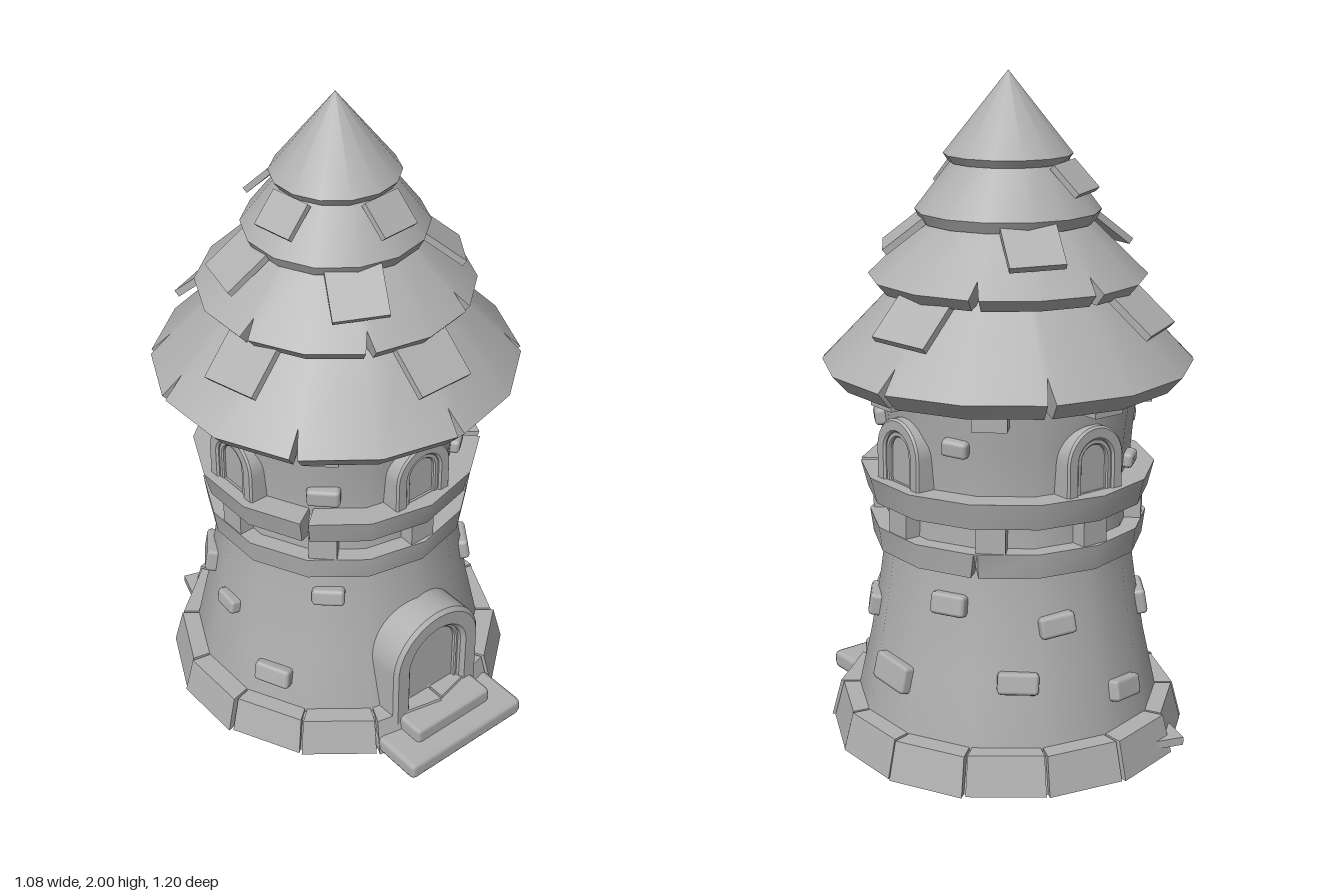
import * as THREE from 'three';
import { toCreasedNormals } from 'three/addons/utils/BufferGeometryUtils.js';
import { RoundedBoxGeometry } from 'three/addons/geometries/RoundedBoxGeometry.js';

const SIDES = 14;
const STEP = (Math.PI * 2) / SIDES;
const rad = THREE.MathUtils.degToRad;

// Wall outline as [radius, height]
const WALL = [[0.475, 0.0], [0.462, 0.11], [0.42, 0.3], [0.39, 0.48], [0.373, 0.6],
  [0.365, 0.72], [0.366, 0.85], [0.377, 0.98], [0.396, 1.13]];

function wallRadius(y) {
  const i = Math.max(1, WALL.findIndex((p) => p[1] >= y));
  const [r0, y0] = WALL[i - 1], [r1, y1] = WALL[i];
  return r0 + ((r1 - r0) * (y - y0)) / (y1 - y0);
}

// Sweeps a profile (top to bottom) round the axis; listed corners get the cut profile as a V notch
function ringGeometry(profile, cut = profile, notches = [], half = 0.028) {
  const columns = [];
  for (let k = 0; k < SIDES; k++) {
    const a = k * STEP;
    if (notches.includes(k)) columns.push([a - half, profile], [a, cut], [a + half, profile]);
    else columns.push([a, profile]);
  }
  const pos = [], index = [], n = profile.length;
  columns.forEach(([a, p], i) => {
    p.forEach(([r, y]) => pos.push(r * Math.sin(a), y, r * Math.cos(a)));
    const next = (i + 1) % columns.length;
    for (let j = 0; j < n - 1; j++) {
      const tl = i * n + j, tr = next * n + j;
      index.push(tl, tl + 1, tr, tl + 1, tr + 1, tr);
    }
  });
  const g = new THREE.BufferGeometry();
  g.setAttribute('position', new THREE.Float32BufferAttribute(pos, 3));
  g.setIndex(index);
  return toCreasedNormals(g, 0.6);
}

// Upright round-topped outline
function archPath(target, half, bottom, top) {
  target.moveTo(-half, bottom);
  target.lineTo(half, bottom);
  target.lineTo(half, top - half);
  target.absarc(0, top - half, half, 0, Math.PI, false);
  target.lineTo(-half, bottom);
  return target;
}

export function createModel() {
  const model = new THREE.Group();
  const tower = new THREE.Group();
  tower.name = 'tower';
  tower.position.z = -0.05;
  model.add(tower);

  const stone = new THREE.MeshStandardMaterial({ color: 0xb0b0b0 });
  stone.name = 'grey stone';

  function add(parent, name, geometry) {
    const mesh = new THREE.Mesh(geometry, stone);
    mesh.name = name;
    parent.add(mesh);
    return mesh;
  }

  // Puts a part at an angle round the tower, 0 = front, 90 = model's left
  function around(name, geometry, degrees, r, y, tilt = 0, roll = 0) {
    const pivot = new THREE.Group();
    pivot.name = name + 'Pivot';
    pivot.rotation.y = rad(degrees);
    tower.add(pivot);
    const mesh = add(pivot, name, geometry);
    mesh.position.set(0, y, r);
    mesh.rotation.set(tilt, 0, roll);
    return mesh;
  }

  // Wall and solid foot
  add(tower, 'wall', ringGeometry([...WALL].reverse()));
  add(tower, 'foot', new THREE.CylinderGeometry(0.49, 0.525, 0.105, SIDES)).position.y = 0.0525;

  // Foundation blocks, bent from boxes
  for (let k = 0; k < SIDES; k++) {
    const g = new THREE.BoxGeometry(1, 1, 1);
    const p = g.attributes.position;
    const grow = [0, 0.006, -0.004][k % 3];
    for (let i = 0; i < p.count; i++) {
      const up = p.getY(i) > 0;
      const a = (k + 0.5 + p.getX(i) * 0.965) * STEP;
      const r = p.getZ(i) < 0 ? 0.42 : (up ? 0.515 : 0.545) + grow;
      p.setXYZ(i, r * Math.sin(a), up ? 0.115 : 0, r * Math.cos(a));
    }
    g.computeVertexNormals();
    add(tower, 'foundationBlock', g);
  }
  const chip = around('looseStone', new THREE.BoxGeometry(0.1, 0.025, 0.1), -154, 0.515, 0.04);
  chip.rotation.y = 0.8;

  // Two stone bands with a gallery of short posts between
  add(tower, 'lowerBand', ringGeometry(
    [[0.34, 0.69], [0.418, 0.69], [0.408, 0.615], [0.34, 0.615]],
    [[0.34, 0.69], [0.418, 0.69], [0.40, 0.65], [0.34, 0.65]], [5]));
  add(tower, 'upperBand', ringGeometry(
    [[0.34, 0.845], [0.442, 0.845], [0.422, 0.765], [0.34, 0.765]],
    [[0.34, 0.845], [0.395, 0.80], [0.39, 0.765], [0.34, 0.765]], [2, 12]));
  for (let k = 0; k < 8; k++) {
    around('galleryPost', new THREE.BoxGeometry(0.085, 0.085, 0.08), k * 45, 0.365, 0.727);
    const low = k % 2 === 1;
    around('eaveBracket', new THREE.BoxGeometry(0.1, low ? 0.075 : 0.05, 0.14),
      k * 45, low ? 0.36 : 0.385, low ? 1.09 : 1.105);
  }

  // Roof tiers: sloping top, inward lip and underside
  const tiers = [
    { name: 'roofTierOne', top: [0.30, 1.42], out: [0.55, 1.16], lip: [0.505, 1.11], inner: [0.37, 1.13],
      notches: [0, 2, 4, 6, 9, 10, 12], half: 0.022 },
    { name: 'roofTierTwo', top: [0.22, 1.60], out: [0.41, 1.415], lip: [0.38, 1.38], inner: [0.29, 1.39],
      notches: [1, 5, 7, 11, 13], half: 0.035 },
    { name: 'roofTierThree', top: [0.15, 1.765], out: [0.272, 1.605], lip: [0.255, 1.572], inner: [0.2, 1.58],
      notches: [], half: 0 },
    { name: 'roofPeak', top: [0, 2], out: [0.188, 1.765], lip: [0.172, 1.742], inner: [0.1, 1.75],
      notches: [], half: 0 },
  ];
  for (const t of tiers) {
    const up = (p) => [p[0] + (t.top[0] - p[0]) * 0.24, p[1] + (t.top[1] - p[1]) * 0.24];
    add(tower, t.name, ringGeometry([t.top, t.out, t.lip, t.inner],
      [t.top, up(t.out), up(t.lip), t.inner], t.notches, t.half));
  }

  // Loose shingles: [angle, roll] for each tier
  const shingles = [
    { r: 0.415, y: 1.34, size: [0.18, 0.022, 0.165], tilt: 0.72, at: [[0, 0], [-77, 0.08], [103, -0.08], [-153, 0.05]] },
    { r: 0.3, y: 1.54, size: [0.16, 0.02, 0.15], tilt: 0.66, at: [[155, 0.05], [-105, -0.05], [-28, 0.08], [53, -0.06]] },
    { r: 0.212, y: 1.705, size: [0.13, 0.018, 0.11], tilt: 0.78, at: [[-155, 0.06], [-82, 0], [5, -0.04]] },
  ];
  for (const s of shingles) {
    for (const [angle, roll] of s.at) {
      around('shingle', new THREE.BoxGeometry(...s.size), angle, s.r, s.y, s.tilt, roll);
    }
  }

  // Raised wall bricks: [angle, height, width, tallness, roll]
  const bricks = [
    [-45, 0.9, 0.1, 0.06, 0], [38, 0.885, 0.08, 0.045, 0], [60, 1.0, 0.08, 0.05, 0.05],
    [119, 0.985, 0.08, 0.05, -0.08], [-111, 0.97, 0.1, 0.05, 0.05], [-143, 0.88, 0.08, 0.045, 0],
    [-43, 0.525, 0.1, 0.055, 0], [54, 0.4, 0.12, 0.07, -0.05], [-66, 0.21, 0.12, 0.065, 0],
    [-95, 0.37, 0.09, 0.05, 0], [90, 0.265, 0.155, 0.085, -0.05], [116, 0.515, 0.11, 0.065, 0],
    [163, 0.46, 0.11, 0.065, 0.1], [146, 0.3, 0.12, 0.065, -0.05], [-126, 0.4, 0.13, 0.08, 0.03],
    [-166, 0.22, 0.12, 0.065, -0.1],
  ];
  for (const [angle, y, w, h, roll] of bricks) {
    const tilt = Math.atan((wallRadius(y + 0.04) - wallRadius(y - 0.04)) / 0.08);
    around('wallBrick', new RoundedBoxGeometry(w, h, 0.06, 1, 0.012), angle, wallRadius(y) - 0.01, y, tilt, roll);
  }

  // Arched frame with bevelled edges; the front face lies at z = front
  function archFrame(parent, name, outer, inner, bottom, top, innerTop, front, depth, bevel) {
    const shape = archPath(new THREE.Shape(), outer - bevel, bottom, top - bevel);
    shape.holes.push(archPath(new THREE.Path(), inner + bevel, bottom + 0.002, innerTop + bevel));
    const g = new THREE.ExtrudeGeometry(shape, { depth: depth - bevel, bevelEnabled: true,
      bevelSize: bevel, bevelThickness: bevel, bevelSegments: 1, curveSegments: 12 });
    g.translate(0, 0, front - depth);
    add(parent, name, toCreasedNormals(g, 0.5));
  }
  function archPanel(parent, name, half, bottom, top, front) {
    const g = new THREE.ExtrudeGeometry(archPath(new THREE.Shape(), half, bottom, top),
      { depth: 0.05, bevelEnabled: false, curveSegments: 12 });
    g.translate(0, 0, front - 0.05);
    add(parent, name, g);
  }

  // Four windows
  for (let k = 0; k < 4; k++) {
    const win = new THREE.Group();
    win.name = 'window';
    win.rotation.y = (k * Math.PI) / 2;
    tower.add(win);
    archFrame(win, 'windowSurround', 0.102, 0.062, 0.835, 1.04, 1.0, 0.405, 0.1, 0.006);
    archFrame(win, 'windowFrame', 0.064, 0.046, 0.84, 1.002, 0.984, 0.397, 0.06, 0.004);
    archPanel(win, 'windowPane', 0.06, 0.84, 0.995, 0.386);
  }

  // Doorway and steps
  const door = new THREE.Group();
  door.name = 'doorway';
  tower.add(door);
  archFrame(door, 'doorSurround', 0.172, 0.105, 0.03, 0.45, 0.38, 0.495, 0.2, 0.012);
  archFrame(door, 'doorFrame', 0.108, 0.094, 0.04, 0.383, 0.366, 0.472, 0.08, 0.004);
  archPanel(door, 'doorPanel', 0.105, 0.04, 0.378, 0.458);
  add(door, 'lowerStep', new RoundedBoxGeometry(0.46, 0.06, 0.3, 1, 0.018)).position.set(0, 0.03, 0.498);
  add(door, 'upperStep', new RoundedBoxGeometry(0.3, 0.06, 0.2, 1, 0.014)).position.set(0, 0.077, 0.482);

  return model;
}
